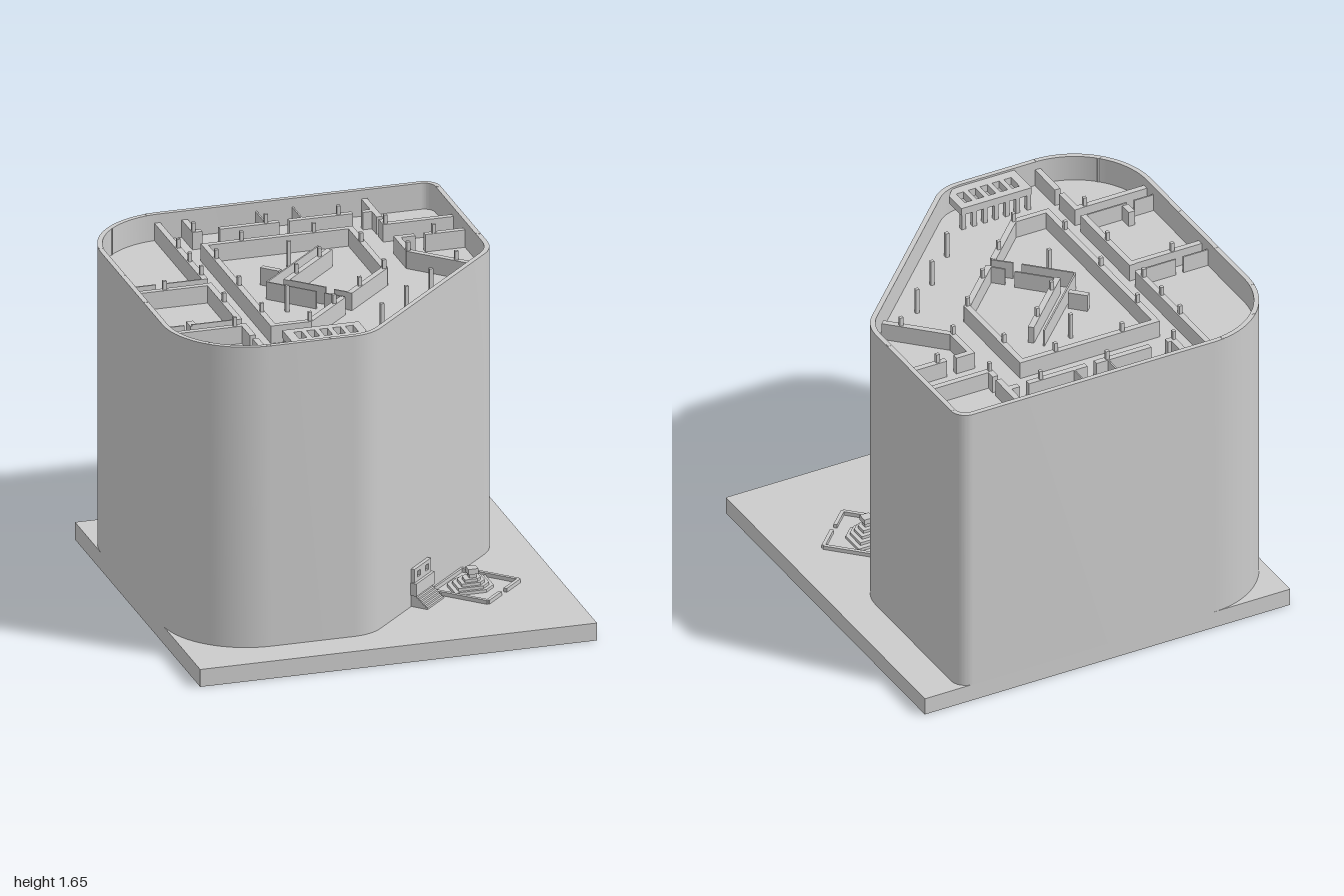
import * as THREE from 'three';
import { toCreasedNormals } from 'three/addons/utils/BufferGeometryUtils.js';

const BASE = 0.09, FLOOR = 1.51, TOP = 1.645, WALL_H = 0.09;
const grey = new THREE.MeshStandardMaterial({ color: 0xcccccc });
const thin = new THREE.MeshStandardMaterial({ color: 0xcccccc, side: THREE.DoubleSide });

function add(parent, name, geometry, material = grey) {
  const mesh = new THREE.Mesh(geometry, material);
  mesh.name = name;
  parent.add(mesh);
  return mesh;
}

const points = list => list.map(p => new THREE.Vector2(...p));

// box standing on y
function box(parent, name, x, y, z, w, h, d) {
  const mesh = add(parent, name, new THREE.BoxGeometry(w, h, d));
  mesh.position.set(x, y + h / 2, z);
  return mesh;
}

// plan shape (x, z) raised between two heights
function prism(parent, name, shape, bottom, top) {
  const g = new THREE.ExtrudeGeometry(shape, { depth: top - bottom, bevelEnabled: false, curveSegments: 14 });
  g.rotateX(Math.PI / 2).translate(0, top, 0);
  return add(parent, name, toCreasedNormals(g, 0.5));
}

// straight wall between two plan points
function wall(parent, name, [x1, z1, x2, z2], y, h, t) {
  const m = box(parent, name, (x1 + x2) / 2, y, (z1 + z2) / 2, Math.hypot(x2 - x1, z2 - z1), h, t);
  m.rotation.y = -Math.atan2(z2 - z1, x2 - x1);
  return m;
}

// building footprint, inset by i
function footprint(i, Type = THREE.Shape) {
  const s = new Type(), P = Math.PI, e = 0.815 - i, k = 0.41 * i, r = 0.42 - i;
  s.moveTo(-0.58, -1 + i);
  s.lineTo(0.735, -1 + i);
  s.absarc(0.735, -0.92, 0.08 - i, -P / 2, 0, false);
  s.lineTo(e, -0.17 - k);
  s.quadraticCurveTo(e, -0.075 - k, 0.75 - i * 0.71, -0.01 - i * 0.71);
  s.lineTo(-0.01 - i * 0.71, 0.75 - i * 0.71);
  s.quadraticCurveTo(-0.075 - k, e, -0.17 - k, e);
  s.lineTo(-0.58, e);
  s.absarc(-0.58, 0.395, r, P / 2, P, false);
  s.lineTo(-1 + i, -0.58);
  s.absarc(-0.58, -0.58, r, P, P * 1.5, false);
  return s;
}

// partitions as [x1, z1, x2, z2]
const WALLS = [
  // left wing
  [-0.593, -0.98, -0.593, -0.215], [-0.593, -0.16, -0.593, 0.33], [-0.593, 0.39, -0.593, 0.55],
  [-0.593, 0.59, -0.593, 0.8], [-0.98, -0.142, -0.58, -0.142], [-0.98, 0.407, -0.58, 0.407],
  // back rooms
  [-0.455, -0.98, -0.455, -0.82], [-0.47, -0.82, -0.42, -0.82], [-0.33, -0.82, -0.03, -0.82],
  [0.02, -0.82, 0.34, -0.82], [0.39, -0.82, 0.46, -0.82], [0.45, -0.98, 0.45, -0.73], [0.45, -0.7, 0.45, -0.63],
  // right rooms
  [0.435, -0.64, 0.8, -0.64], [0.44, -0.457, 0.54, -0.457], [0.59, -0.457, 0.8, -0.457],
  [0.453, -0.47, 0.453, -0.265], [0.447, -0.277, 0.7, -0.024],
  // central hall
  [-0.475, -0.64, 0.29, -0.64], [0.275, -0.64, 0.275, -0.085], [0.281, -0.101, 0.015, 0.165],
  [-0.46, -0.64, -0.46, 0.465], [-0.46, 0.45, -0.27, 0.45], [-0.28, 0.455, -0.03, 0.205],
  // inner diagonal wall and stub
  [0.095, -0.405, -0.225, -0.085], [-0.285, -0.285, -0.215, -0.215],
];
const SCREENS = [
  [-0.98, -0.215, -0.84, -0.215], [-0.8, -0.215, -0.58, -0.215], [-0.98, 0.33, -0.87, 0.33],
  [-0.83, 0.33, -0.58, 0.33], [-0.095, -0.98, -0.095, -0.82], [0.09, -0.98, 0.09, -0.82],
  [0.055, -0.46, -0.32, -0.09], [-0.32, -0.09, -0.13, 0.1], [-0.1, 0.13, -0.02, 0.205], [-0.22, -0.09, -0.07, 0.06],
  [-0.04, 0.1, 0.015, 0.155],
];
// column z positions by x
const COLUMNS = [
  [-0.985, [-0.64, -0.275, 0.09]], [-0.865, [-0.867, 0.68]], [-0.82, [-0.142]], [-0.64, [-0.985, 0.407]],
  [-0.593, [-0.64, -0.455, -0.275, 0.09, 0.8]], [-0.46, [-0.82, -0.455, -0.09, 0.27]],
  [-0.275, [-0.64, 0.09, 0.45, 0.8]], [-0.15, [-0.16]], [-0.095, [-0.82, -0.455, 0.27]], [0.02, [-0.33]],
  [0.09, [-0.64, 0.09, 0.45]], [0.27, [-0.82, -0.455, -0.09, 0.27]], [0.45, [-0.64, -0.275, 0.09]],
  [0.635, [-0.455, -0.09]], [0.803, [-0.915, -0.275]],
];

function interior() {
  const g = new THREE.Group();
  g.name = 'interior';
  WALLS.forEach(w => wall(g, 'partition', w, FLOOR, WALL_H, 0.03));
  SCREENS.forEach(w => wall(g, 'thinPartition', w, FLOOR, WALL_H, 0.008));
  for (const [x, zs] of COLUMNS)
    for (const z of zs) box(g, 'column', x, FLOOR, z, 0.018, TOP - FLOOR + 0.001, 0.018);
  box(g, 'pedestal', -0.82, FLOOR, 0.295, 0.035, 0.08, 0.07);

  // slotted bay along the front wall
  const bay = new THREE.Shape(points([[-0.465, 0.615], [-0.08, 0.615], [-0.08, 0.74], [-0.13, 0.795], [-0.465, 0.795]]));
  for (let i = 0; i < 5; i++) {
    const x = -0.42 + i * 0.065;
    bay.holes.push(new THREE.Path(points([[x, 0.655], [x + 0.04, 0.655], [x + 0.04, 0.74], [x, 0.74]])));
  }
  prism(g, 'bayTop', bay, 1.595, 1.635);
  for (let i = 0; i < 7; i++) box(g, 'bayPillar', -0.452 + i * 0.0595, FLOOR, 0.63, 0.022, 0.09, 0.025);
  return g;
}

// stepped doorway on the diagonal wall; local +z points outward
function entrance() {
  const g = new THREE.Group();
  g.name = 'entrance';
  for (let i = 0; i < 6; i++)
    box(g, 'step', 0, BASE + i * 0.01, 0.06 - i * 0.006, 0.17, 0.01, 0.1 - i * 0.012);
  box(g, 'porch', 0, 0.15, 0.027, 0.19, 0.065, 0.055);
  const s = new THREE.Shape(points([[-0.085, 0], [0.085, 0], [0.085, 0.07], [-0.085, 0.07]]));
  for (const x of [-0.042, 0.042])
    s.holes.push(new THREE.Path(points([[x - 0.015, 0.02], [x + 0.015, 0.02], [x + 0.015, 0.05], [x - 0.015, 0.05]])));
  const panel = add(g, 'windowPanel', new THREE.ExtrudeGeometry(s, { depth: 0.03, bevelEnabled: false }));
  panel.position.set(0, 0.215, 0.01);
  box(g, 'panelBack', 0, 0.215, 0.012, 0.17, 0.07, 0.008);
  g.position.set(0.258, 0, 0.452);
  g.rotation.y = Math.PI / 4;
  return g;
}

// walled court with a terraced monument
function court() {
  const g = new THREE.Group();
  g.name = 'court';
  const n = [0.58, 0.165], e = [0.8, 0.385], s = [0.575, 0.605], w = [0.355, 0.385];
  const rail = (a, b) => wall(g, 'courtWall', [...a, ...b], BASE, 0.02, 0.018);
  rail(w, n); rail(n, e); rail(s, w);
  rail(e, [0.7, 0.485]); rail([0.665, 0.515], s);
  // tiers with two clipped corners
  [0.105, 0.083, 0.062, 0.042].forEach((r, i) => {
    const c = r * 0.5, d = r * 0.88;
    const tier = new THREE.Shape(points([[-r + c, -d], [r, -d], [r, d - c], [r - c, d], [-r, d], [-r, -d + c]]
      .map(([x, z]) => [0.56 + x, 0.37 + z + i * 0.005])));
    prism(g, 'tier', tier, BASE + i * 0.015, BASE + (i + 1) * 0.015);
  });
  box(g, 'monumentStem', 0.562, 0.15, 0.388, 0.035, 0.025, 0.035);
  box(g, 'monumentCap', 0.562, 0.17, 0.388, 0.05, 0.028, 0.05);
  return g;
}

// hollow slab: top, rim and an L-shaped underside, open beneath the building
function baseSlab() {
  const g = new THREE.Group();
  g.name = 'baseSlab';
  add(g, 'slabTop', new THREE.PlaneGeometry(2, 2).rotateX(-Math.PI / 2).translate(0, BASE, 0), thin);
  for (let i = 0; i < 4; i++)
    add(g, 'slabSide', new THREE.PlaneGeometry(2, BASE).translate(0, BASE / 2, 1).rotateY(i * Math.PI / 2), thin);
  const under = new THREE.Shape(points([[-1, 1], [-1, 0.81], [0.81, 0.81], [0.81, -1], [1, -1], [1, 1]]));
  add(g, 'slabUnderside', new THREE.ShapeGeometry(under).rotateX(Math.PI / 2), thin);
  return g;
}

export function createModel() {
  const model = new THREE.Group();
  model.name = 'building';
  prism(model, 'upperFloor', footprint(0.01), FLOOR - 0.03, FLOOR);
  const shell = footprint(0);
  shell.holes.push(footprint(0.025, THREE.Path));
  prism(model, 'outerWall', shell, BASE, TOP);
  model.add(baseSlab(), interior(), entrance(), court());
  return model;
}
